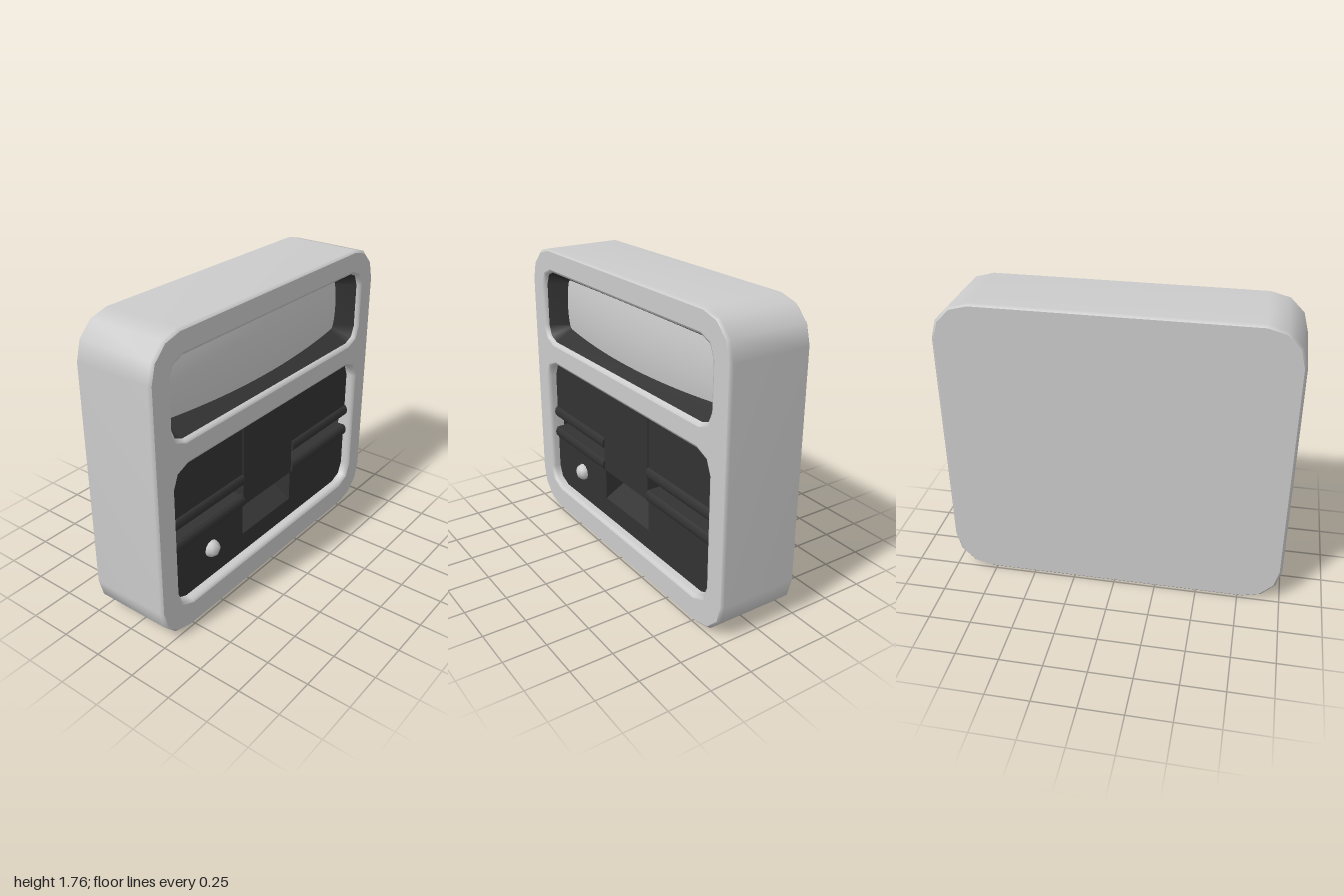
import * as THREE from 'three';

const grey = new THREE.MeshStandardMaterial({ color: 0xcccccc });
const dark = new THREE.MeshStandardMaterial({ color: 0x333333, side: THREE.DoubleSide });

// Rounded rectangle centred on x = 0, as a counter-clockwise ring at depth z
function ring(hw, y0, y1, r, n, z) {
  const pts = [];
  const corners = [[hw - r, y1 - r], [r - hw, y1 - r], [r - hw, y0 + r], [hw - r, y0 + r]];
  corners.forEach(([cx, cy], k) => {
    for (let i = 0; i <= n; i++) {
      const a = (k + i / n) * Math.PI / 2;
      pts.push(new THREE.Vector3(cx + r * Math.cos(a), cy + r * Math.sin(a), z));
    }
  });
  return pts;
}

// Skin between rings: front-to-back faces outward, back-to-front faces inward
function loft(rings) {
  const n = rings[0].length, index = [];
  for (let k = 0; k < rings.length - 1; k++) {
    for (let i = 0; i < n; i++) {
      const a = k * n + i, b = k * n + (i + 1) % n;
      index.push(a, a + n, b, b, a + n, b + n);
    }
  }
  const g = new THREE.BufferGeometry().setFromPoints(rings.flat());
  g.setIndex(index);
  g.computeVertexNormals();
  return g;
}

const flat = (pts) => pts.map((p) => new THREE.Vector2(p.x, p.y));

function rect(x0, y0, x1, y1) {
  return [[x0, y0], [x1, y0], [x1, y1], [x0, y1]].map(([x, y]) => new THREE.Vector2(x, y));
}

export function createModel() {
  const model = new THREE.Group();
  const add = (name, geometry, material, x = 0, y = 0, z = 0) => {
    const mesh = new THREE.Mesh(geometry, material);
    mesh.name = name;
    mesh.position.set(x, y, z);
    model.add(mesh);
    return mesh;
  };

  // Case: outer skin with softened edges, back and pierced front
  const outer = (inset, z) => ring(1 - inset, inset, 1.76 - inset, 0.22 - inset, 3, z);
  const screenHole = (grow, z) => ring(0.855 + grow, 1.17 - grow, 1.615 + grow, 0.09 + grow, 2, z);
  const driveHole = (grow, z) => ring(0.855 + grow, 0.165 - grow, 1.025 + grow, 0.105 + grow, 2, z);

  add('caseSides', loft([outer(0.015, 0.245), outer(0, 0.23), outer(0, -0.23), outer(0.015, -0.245)]), grey);
  const back = add('caseBack', new THREE.ShapeGeometry(new THREE.Shape(flat(outer(0.015, 0)))), grey, 0, 0, -0.245);
  back.rotation.y = Math.PI;
  const front = new THREE.Shape(flat(outer(0.015, 0)));
  for (const hole of [screenHole, driveHole]) front.holes.push(new THREE.Path(flat(hole(0.02, 0))));
  add('caseFront', new THREE.ShapeGeometry(front), grey, 0, 0, 0.245);

  // Rounded lips of the two openings
  add('screenLip', loft([screenHole(0, 0.22), screenHole(0.006, 0.238), screenHole(0.02, 0.245)]), grey);
  add('driveLip', loft([driveHole(0, 0.15), driveHole(0, 0.22), driveHole(0.006, 0.238), driveHole(0.02, 0.245)]), grey);

  // Sloping bezel around the bulging screen
  add('screenBezel', loft([screenHole(-0.075, 0.09), screenHole(0, 0.22)]), dark);
  const screen = new THREE.PlaneGeometry(1.66, 0.4, 24, 8);
  const p = screen.attributes.position;
  for (let i = 0; i < p.count; i++) {
    p.setZ(i, 0.165 - 0.05 * (p.getX(i) / 0.8) ** 2 - 0.015 * (p.getY(i) / 0.18) ** 2);
  }
  screen.computeVertexNormals();
  add('screen', screen, grey, 0, 1.3925, 0);

  // Drive panel with a slot on each side and a finger notch in the middle
  const panel = new THREE.Shape(rect(-0.88, 0.14, 0.88, 1.05));
  for (const hole of [rect(-0.865, 0.555, -0.24, 0.63), rect(0.235, 0.555, 0.865, 0.63), rect(-0.24, 0.29, 0.235, 0.49)]) {
    panel.holes.push(new THREE.Path(hole));
  }
  add('drivePanel', new THREE.ExtrudeGeometry(panel, { depth: 0.17, bevelEnabled: false }), dark, 0, 0, 0.02);
  add('driveBacking', new THREE.BoxGeometry(1.76, 0.91, 0.02), dark, 0, 0.595, 0.01);
  add('centrePlate', new THREE.BoxGeometry(0.475, 0.54, 0.02), dark, -0.0025, 0.76, 0.187);

  // Ramp on the floor of the notch
  const ramp = new THREE.Shape([[-0.19, 0.29], [-0.02, 0.29], [-0.02, 0.385]].map(([x, y]) => new THREE.Vector2(x, y)));
  const rampMesh = add('notchRamp', new THREE.ExtrudeGeometry(ramp, { depth: 0.475, bevelEnabled: false }), dark, -0.24, 0, 0);
  rampMesh.rotation.y = Math.PI / 2;

  // Rounded ridges above and below each slot
  for (const y of [0.52, 0.665]) {
    for (const [x0, x1] of [[-0.865, -0.24], [0.235, 0.865]]) {
      const ridge = new THREE.CylinderGeometry(0.035, 0.035, x1 - x0, 10);
      ridge.rotateZ(Math.PI / 2);
      ridge.scale(1, 1, 0.6);
      add('slotRidge', ridge, dark, (x0 + x1) / 2, y, 0.19);
    }
  }

  // Small round button
  add('button', new THREE.SphereGeometry(0.052, 8, 6), grey, -0.525, 0.355, 0.19);
  return model;
}
